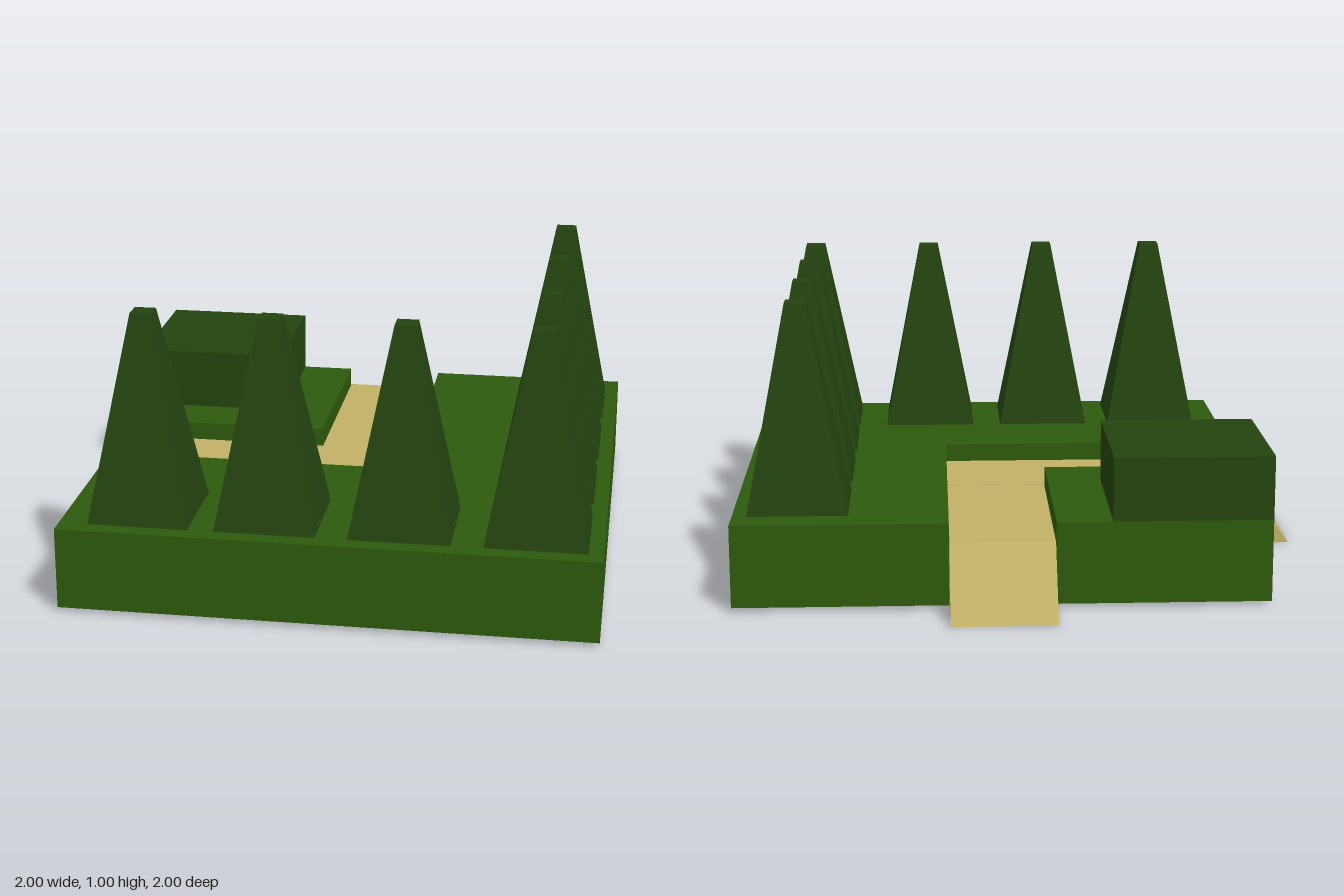
import * as THREE from 'three';

const mat = (name, color) =>
  new THREE.MeshStandardMaterial({ name, color, flatShading: true, side: THREE.DoubleSide });

// Removes the faces that look straight down, leaving a shell open underneath
function openBottom(geometry) {
  const src = geometry.index ? geometry.toNonIndexed() : geometry;
  const p = src.attributes.position, n = src.attributes.normal, kept = [];
  for (let i = 0; i < p.count; i += 3) {
    if (n.getY(i) < -0.9) continue;
    for (let j = i; j < i + 3; j++) kept.push(p.getX(j), p.getY(j), p.getZ(j));
  }
  const out = new THREE.BufferGeometry();
  out.setAttribute('position', new THREE.Float32BufferAttribute(kept, 3));
  out.computeVertexNormals();
  return out;
}

function shellBox(x0, x1, y0, y1, z0, z1) {
  const g = new THREE.BoxGeometry(x1 - x0, y1 - y0, z1 - z0);
  g.translate((x0 + x1) / 2, (y0 + y1) / 2, (z0 + z1) / 2);
  return openBottom(g);
}

// Raised path along x with a ramp at each end, open underneath
function pathBar(start, end, ramp, height, near, far) {
  const s = new THREE.Shape();
  s.moveTo(start, 0);
  s.lineTo(end, 0);
  s.lineTo(end - ramp, height);
  s.lineTo(start + ramp, height);
  s.closePath();
  const g = new THREE.ExtrudeGeometry(s, { depth: far - near, bevelEnabled: false });
  g.translate(0, 0, near);
  return openBottom(g);
}

export function createModel() {
  const model = new THREE.Group();
  const grass = mat('grass green', 0x2d5a0c);
  const foliage = mat('dark foliage green', 0x24440f);
  const sand = mat('sandy path', 0xc2b066);
  const add = (name, geometry, material) => {
    const m = new THREE.Mesh(geometry, material);
    m.name = name;
    model.add(m);
    return m;
  };

  // Ground: four corner blocks and two fillers, leaving an L-shaped channel
  const lo = -0.82, a = -0.09, b = 0.27, hi = 1;
  const ground = [
    [lo, a, lo, a], [b, hi, lo, a], [lo, a, b, hi], [b, hi, b, hi],
    [b, hi, a, b], [a, b, b, hi],
  ];
  for (const [x0, x1, z0, z1] of ground) {
    add('grassBlock', shellBox(x0, x1, 0.015, 0.3, z0, z1), grass);
  }

  // Crossing paths, just inside the channel walls
  const e = 0.002;
  add('pathAcross', pathBar(-1, 0.83, 0.18, 0.235, a + e, b - e), sand);
  const along = pathBar(-1, 0.75, 0.18, 0.234, -b + e, -a - e);
  along.rotateY(-Math.PI / 2);
  add('pathAlong', along, sand);

  // Square hedge in the inner corner
  add('hedge', shellBox(lo, -0.28, 0.3, 0.52, lo, -0.28), foliage);

  // Tapered four-sided trees along two edges
  const tree = new THREE.CylinderGeometry(0.036 * Math.SQRT2, 0.171 * Math.SQRT2, 0.705, 4);
  tree.rotateY(Math.PI / 4);
  const spots = [-0.55, -0.12, 0.33, 0.78].map((x) => [x, 0.77]);
  for (const z of [-0.54, -0.1, 0.34]) spots.push([0.78, z]);
  for (const [x, z] of spots) add('tree', tree, foliage).position.set(x, 0.6525, z);

  return model;
}
